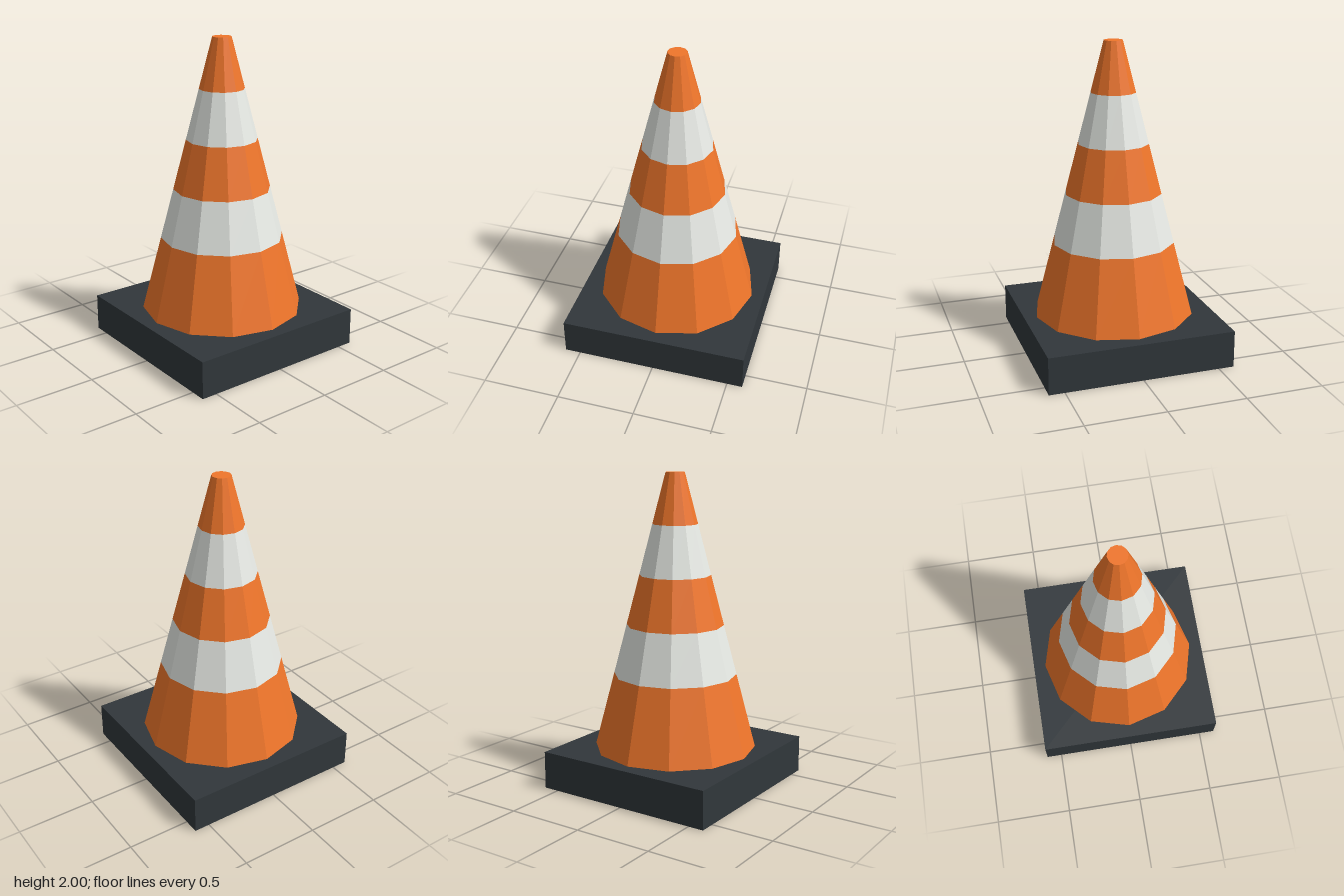
import * as THREE from 'three';

const SIDES = 12;
const BASE_TOP = 0.24, TOP = 2;
const R_BOTTOM = 0.52, R_TOP = 0.06;

// Cone radius at a given height
const radiusAt = (y) => THREE.MathUtils.mapLinear(y, BASE_TOP, TOP, R_BOTTOM, R_TOP);

export function createModel() {
  const group = new THREE.Group();
  group.name = 'trafficCone';

  const material = (color) => new THREE.MeshStandardMaterial({ color, flatShading: true });
  const orange = material(0xf0762b);
  const white = material(0xe8ebe6);
  const dark = material(0x31373b);

  const add = (name, geometry, mat, y) => {
    const mesh = new THREE.Mesh(geometry, mat);
    mesh.name = name;
    mesh.position.y = y;
    group.add(mesh);
  };

  // Square rubber foot
  add('base', new THREE.BoxGeometry(1.2, BASE_TOP, 1.2), dark, BASE_TOP / 2);

  // Stacked cone sections, alternating orange body and white reflective stripes
  const levels = [BASE_TOP, 0.72, 1.04, 1.36, 1.68, TOP];
  const names = ['lowerBody', 'lowerStripe', 'middleBody', 'upperStripe', 'tip'];
  names.forEach((name, i) => {
    const y0 = levels[i], y1 = levels[i + 1];
    const open = y1 < TOP; // only the tip is capped
    const section = new THREE.CylinderGeometry(radiusAt(y1), radiusAt(y0), y1 - y0, SIDES, 1, open);
    add(name, section, i % 2 ? white : orange, (y0 + y1) / 2);
  });

  return group;
}
